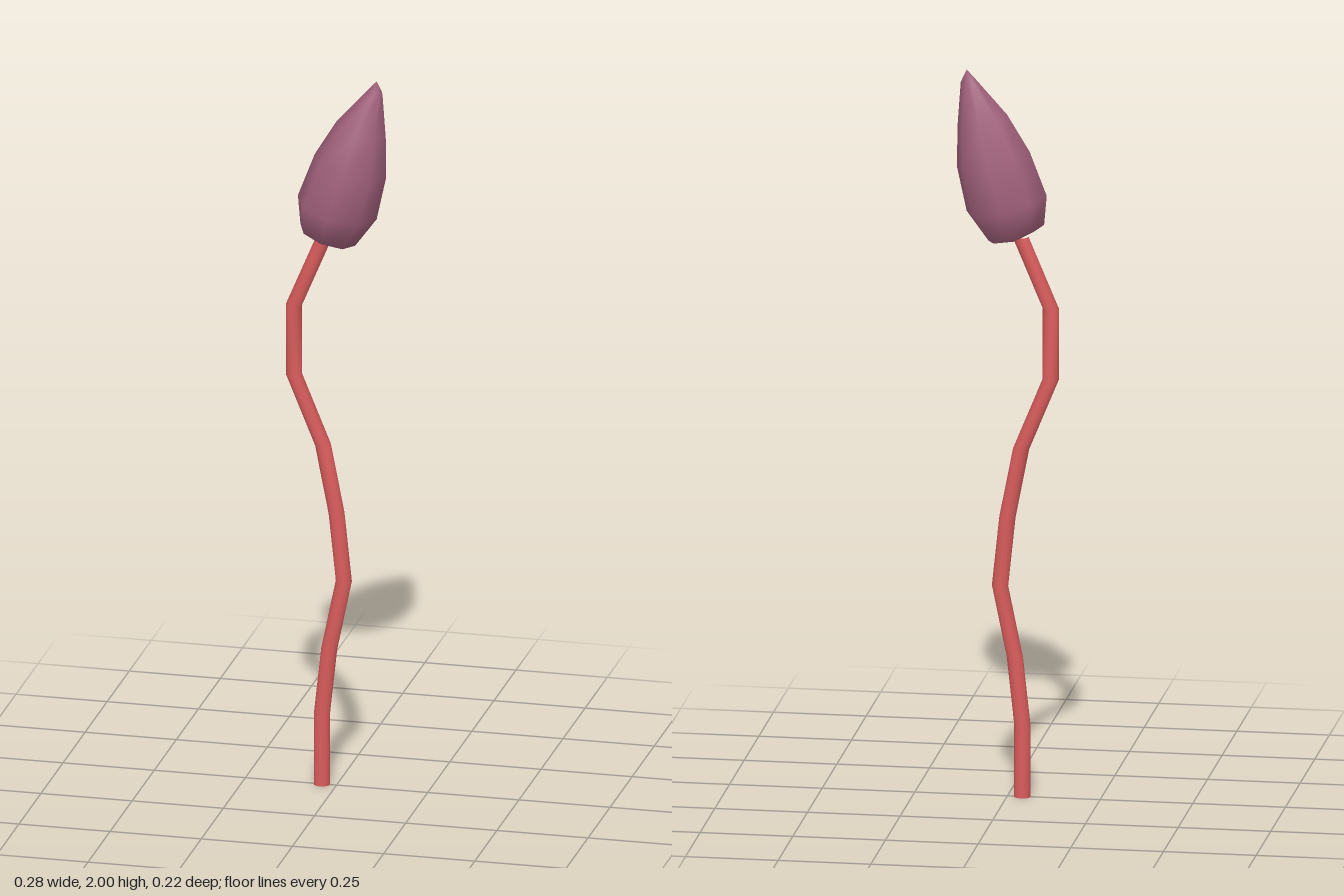
import * as THREE from 'three';
import { mergeVertices } from 'three/addons/utils/BufferGeometryUtils.js';

// Joins elliptical rings [centreX, centreY, radiusX, radiusZ, rise], where rise
// is how far the +x end of the ring sits above its centre.
function loft(rings, sides) {
  const positions = [];
  const index = [];
  rings.forEach(([cx, cy, rx, rz, rise], i) => {
    for (let j = 0; j < sides; j++) {
      const a = (j / sides) * Math.PI * 2;
      positions.push(cx + rx * Math.cos(a), cy + rise * Math.cos(a), rz * Math.sin(a));
      if (i === rings.length - 1) continue;
      const p = i * sides + j;
      const q = i * sides + ((j + 1) % sides);
      index.push(p, p + sides, q, q, p + sides, q + sides);
    }
  });
  const geometry = new THREE.BufferGeometry();
  geometry.setAttribute('position', new THREE.Float32BufferAttribute(positions, 3));
  geometry.setIndex(index);
  const merged = mergeVertices(geometry); // welds the poles
  merged.computeVertexNormals();
  return merged;
}

export function createModel() {
  const group = new THREE.Group();
  const stemRed = new THREE.MeshStandardMaterial({ name: 'stemRed', color: 0xd95c5c });
  const budMauve = new THREE.MeshStandardMaterial({ name: 'budMauve', color: 0xa0607a });

  const add = (name, geometry, material) => {
    const mesh = new THREE.Mesh(geometry, material);
    mesh.name = name;
    group.add(mesh);
    return mesh;
  };

  // Crooked stem, running slightly into the bud
  const r = 0.022;
  const path = [
    [-0.04, 0], [-0.04, 0.2], [-0.02, 0.385], [0.02, 0.58], [0, 0.77],
    [-0.037, 0.96], [-0.117, 1.155], [-0.117, 1.35], [-0.035, 1.545],
  ];
  add('stem', loft(path.map(([x, y]) => [x, y, r, r, 0]), 12), stemRed);

  // Flat foot of the stem
  const foot = add('stemFoot', new THREE.CircleGeometry(r, 12), stemRed);
  foot.rotation.x = Math.PI / 2;
  foot.position.x = -0.04;

  // Closed bud, leaning towards +x
  add('bud', loft([
    [-0.018, 1.53, 0, 0, 0],
    [-0.024, 1.555, 0.075, 0.078, -0.025],
    [0.002, 1.635, 0.108, 0.11, -0.025],
    [0.038, 1.755, 0.098, 0.1, -0.025],
    [0.068, 1.86, 0.067, 0.068, -0.02],
    [0.108, 1.972, 0.018, 0.019, -0.007],
    [0.11, 2, 0, 0, 0],
  ], 8), budMauve);

  return group;
}
